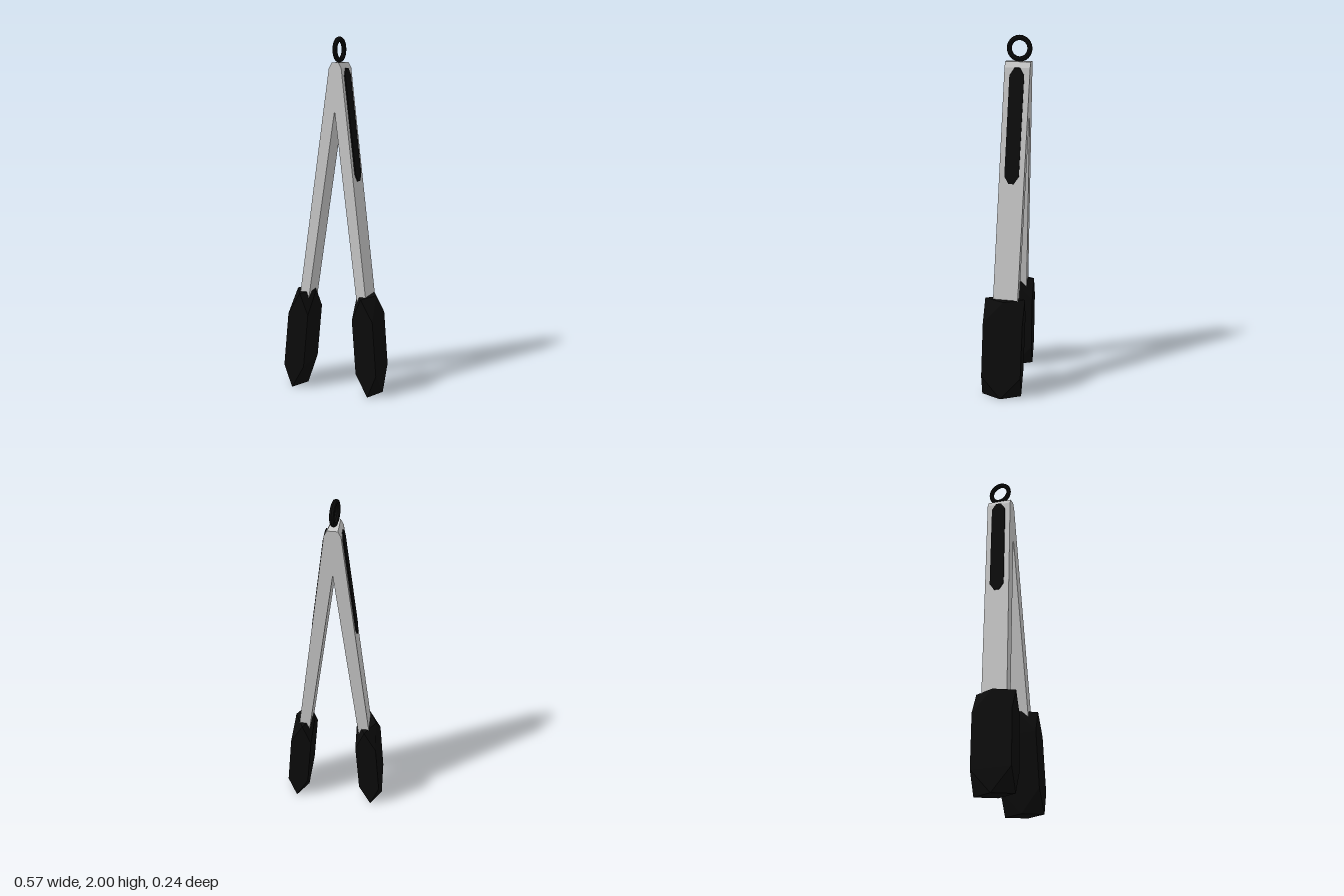
import * as THREE from 'three';
import { ConvexGeometry } from 'three/addons/geometries/ConvexGeometry.js';

const steel = new THREE.MeshStandardMaterial({ color: 0xcccccc, flatShading: true });
const black = new THREE.MeshStandardMaterial({ color: 0x0c0c0c, flatShading: true });

// Outer face and depth centre of an arm at height y (the arms lean back)
const outerX = (y) => 0.2 - 0.127 * (y - 0.57);
const centreZ = (y) => -0.005 - 0.031 * (y - 0.57);

// Faceted solid through [x, y, z] corners, mirrored to side s
function solid(name, corners, s, material) {
  const points = corners.map(([x, y, z]) => new THREE.Vector3(s * x, y, z));
  const mesh = new THREE.Mesh(new ConvexGeometry(points), material);
  mesh.name = name;
  return mesh;
}

// Bar tapering to the hinge, with a chamfered top
function arm(s) {
  const corners = [];
  for (const [y, inner, outer] of [
    [0.42, 0.16, outerX(0.42)],
    [1.6, 0, outerX(1.6)],
    [1.83, 0, outerX(1.83)],
    [1.86, 0, 0.024],
  ]) {
    for (const dz of [-0.07, 0.07]) {
      const z = centreZ(y) + dz;
      corners.push([inner, y, z], [outer - 0.06 * dz, y, z]);
    }
  }
  return solid('arm', corners, s, steel);
}

// Thin strip with pointed ends on the outer face
function gripPad(s) {
  const corners = [];
  for (const [y, half] of [[1.21, 0.015], [1.25, 0.04], [1.79, 0.04], [1.83, 0.015]]) {
    for (const dz of [-half, half]) {
      const x = outerX(y) - 0.06 * dz;
      corners.push([x - 0.012, y, centreZ(y) + dz], [x + 0.007, y, centreZ(y) + dz]);
    }
  }
  return solid('gripPad', corners, s, black);
}

// Block whose corners are cut to diamond-shaped ends
function tip(s) {
  const corners = [];
  const cx = (y) => 0.23 - 0.084 * y;
  const cz = (y) => 0.012 - 0.022 * y;
  for (const y of [0, 0.565]) {
    for (const d of [-1, 1]) {
      corners.push([cx(y) + d * 0.057, y, cz(y)], [cx(y), y, cz(y) + d * 0.112]);
    }
  }
  for (const y of [0.13, 0.44]) {
    for (const dx of [-0.06, 0.06]) {
      for (const dz of [-0.111, 0.111]) corners.push([cx(y) + dx, y, cz(y) + dz]);
    }
  }
  return solid('tip', corners, s, black);
}

export function createModel() {
  const model = new THREE.Group();
  model.name = 'tongs';

  for (const [side, s] of [['left', 1], ['right', -1]]) {
    const half = new THREE.Group();
    half.name = side + 'Half';
    half.add(arm(s), gripPad(s), tip(s));
    model.add(half);
  }

  // Hanging ring, slightly turned
  const ring = new THREE.Mesh(new THREE.TorusGeometry(0.057, 0.014, 8, 24), black);
  ring.name = 'hangingRing';
  ring.rotation.y = Math.PI / 2 - 0.1;
  ring.position.set(-0.002, 1.929, -0.05);
  model.add(ring);

  return model;
}
